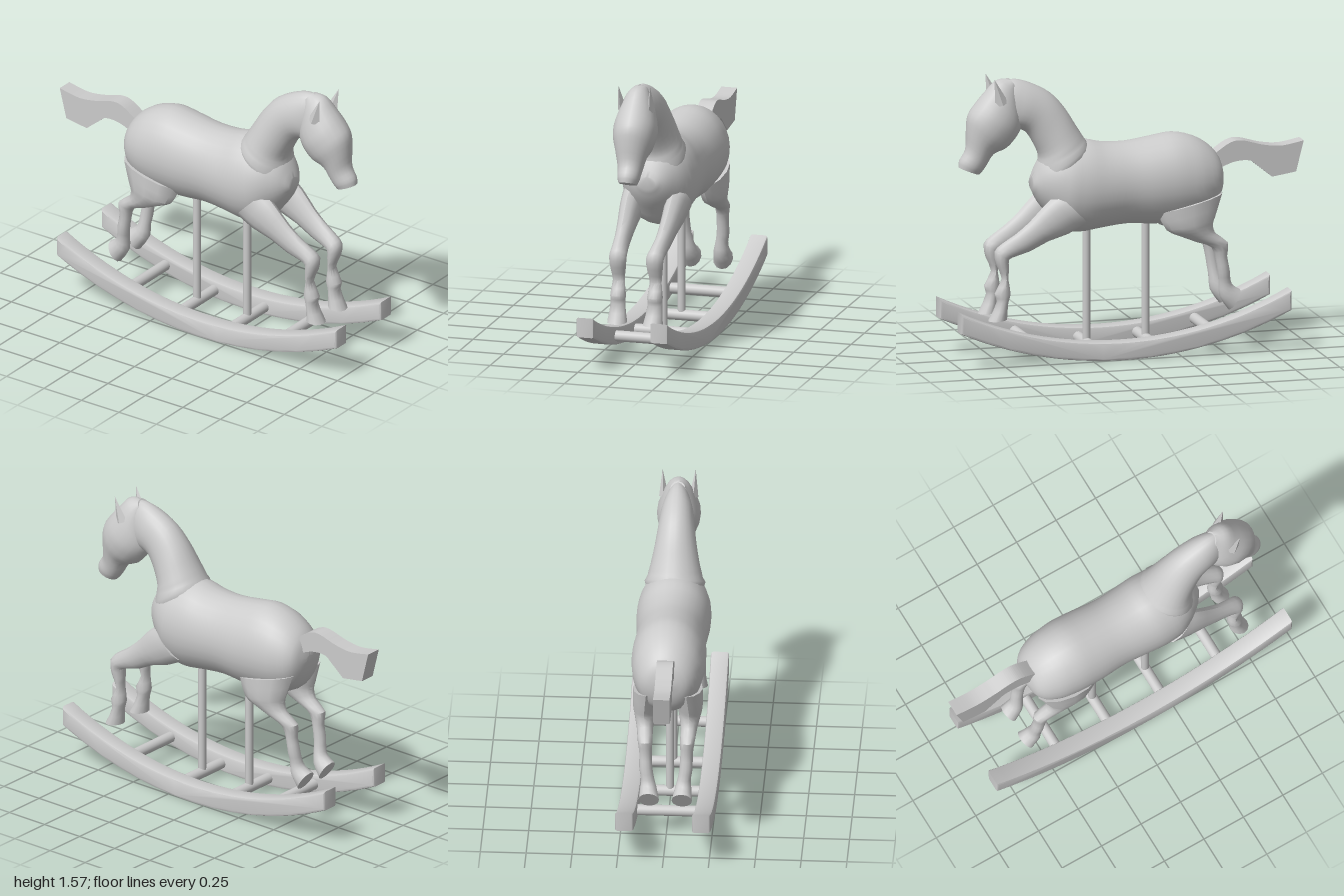
import * as THREE from 'three';
import { toCreasedNormals } from 'three/addons/utils/BufferGeometryUtils.js';

const material = new THREE.MeshStandardMaterial({ color: 0xcccccc });

function addMesh(parent, name, geometry) {
  const mesh = new THREE.Mesh(geometry, material);
  mesh.name = name;
  parent.add(mesh);
  return mesh;
}

// Smooth skin through oval sections [zA, yA, zB, yB, x, halfWidth]; A and B are opposite rim points.
function loft(sections, sides, steps, side = 1, crease = 1) {
  const curve = (pick) => new THREE.CatmullRomCurve3(sections.map(pick));
  const edgeA = curve((s) => new THREE.Vector3(0, s[1], s[0]));
  const edgeB = curve((s) => new THREE.Vector3(0, s[3], s[2]));
  const width = curve((s) => new THREE.Vector3(s[4] * side, s[5], 0));
  const rows = (sections.length - 1) * steps;
  const pos = [], index = [];
  for (let i = 0; i <= rows; i++) {
    const a = edgeA.getPoint(i / rows), b = edgeB.getPoint(i / rows), w = width.getPoint(i / rows);
    for (let j = 0; j < sides; j++) {
      const t = (j / sides) * Math.PI * 2, c = (1 + Math.cos(t)) / 2;
      pos.push(w.x + Math.sin(t) * w.y, b.y + (a.y - b.y) * c, b.z + (a.z - b.z) * c);
    }
  }
  for (let i = 0; i < rows; i++) {
    for (let j = 0; j < sides; j++) {
      const k = (j + 1) % sides, p = i * sides, q = p + sides;
      index.push(p + j, q + j, p + k, p + k, q + j, q + k);
    }
  }
  // End caps
  for (let j = 1; j < sides - 1; j++) {
    const e = rows * sides;
    index.push(0, j, j + 1, e, e + j + 1, e + j);
  }
  // Turn the faces outward if the enclosed volume is negative
  const v = (n) => new THREE.Vector3().fromArray(pos, n * 3);
  let volume = 0;
  for (let i = 0; i < index.length; i += 3) {
    volume += v(index[i]).dot(v(index[i + 1]).cross(v(index[i + 2])));
  }
  if (volume < 0) index.reverse();
  const geometry = new THREE.BufferGeometry();
  geometry.setAttribute('position', new THREE.Float32BufferAttribute(pos, 3));
  geometry.setIndex(index);
  return toCreasedNormals(geometry, crease);
}

const BODY = [
  [-0.545, 0.97, -0.545, 0.93, 0, 0.03], [-0.52, 1.06, -0.53, 0.85, 0, 0.11],
  [-0.47, 1.12, -0.49, 0.77, 0, 0.155], [-0.38, 1.175, -0.4, 0.72, 0, 0.19],
  [-0.27, 1.2, -0.25, 0.7, 0, 0.203], [-0.15, 1.185, -0.14, 0.7, 0, 0.2],
  [0, 1.165, 0, 0.71, 0, 0.19], [0.13, 1.17, 0.15, 0.695, 0, 0.198],
  [0.22, 1.19, 0.27, 0.68, 0, 0.204], [0.31, 1.19, 0.37, 0.7, 0, 0.198],
  [0.4, 1.17, 0.44, 0.78, 0, 0.165], [0.48, 1.1, 0.5, 0.86, 0, 0.11],
  [0.53, 1.0, 0.535, 0.93, 0, 0.05],
];
const NECK = [
  [0.2, 1.15, 0.5, 0.92, 0, 0.15], [0.235, 1.2, 0.495, 1.06, 0, 0.15],
  [0.28, 1.27, 0.49, 1.11, 0, 0.135], [0.35, 1.38, 0.52, 1.18, 0, 0.115],
  [0.43, 1.465, 0.57, 1.255, 0, 0.1], [0.54, 1.525, 0.62, 1.27, 0, 0.09],
  [0.62, 1.55, 0.66, 1.26, 0, 0.075], [0.67, 1.55, 0.7, 1.25, 0, 0.06],
];
const HEAD = [
  [0.66, 1.555, 0.62, 1.5, 0, 0.04], [0.73, 1.548, 0.6, 1.38, 0, 0.075],
  [0.79, 1.49, 0.595, 1.28, 0, 0.105], [0.85, 1.42, 0.63, 1.22, 0, 0.12],
  [0.89, 1.36, 0.68, 1.17, 0, 0.112], [0.9, 1.27, 0.75, 1.14, 0, 0.088],
  [0.905, 1.17, 0.79, 1.08, 0, 0.068], [0.94, 1.11, 0.815, 1.045, 0, 0.06],
  [0.945, 1.075, 0.83, 1.03, 0, 0.05],
];
const FRONT_LEG = [
  [0.42, 0.92, 0.25, 0.75, 0.12, 0.07], [0.49, 0.865, 0.36, 0.695, 0.125, 0.058],
  [0.58, 0.77, 0.47, 0.66, 0.12, 0.048], [0.66, 0.705, 0.57, 0.61, 0.115, 0.042],
  [0.735, 0.655, 0.65, 0.585, 0.108, 0.045], [0.77, 0.615, 0.69, 0.57, 0.105, 0.05],
  [0.76, 0.54, 0.69, 0.52, 0.105, 0.044], [0.728, 0.46, 0.695, 0.46, 0.105, 0.034],
  [0.77, 0.38, 0.68, 0.38, 0.105, 0.044], [0.757, 0.335, 0.695, 0.33, 0.105, 0.042],
  [0.805, 0.23, 0.7, 0.24, 0.102, 0.056],
];
const HIND_LEG = [
  [-0.52, 0.87, -0.15, 0.78, 0.11, 0.08], [-0.475, 0.74, -0.2, 0.68, 0.122, 0.068],
  [-0.462, 0.7, -0.27, 0.645, 0.122, 0.058], [-0.475, 0.65, -0.38, 0.6, 0.12, 0.045],
  [-0.55, 0.59, -0.455, 0.57, 0.115, 0.04], [-0.545, 0.52, -0.48, 0.5, 0.112, 0.034],
  [-0.56, 0.44, -0.493, 0.42, 0.11, 0.036], [-0.57, 0.37, -0.5, 0.37, 0.1, 0.036],
  [-0.585, 0.345, -0.506, 0.29, 0.095, 0.045], [-0.625, 0.32, -0.56, 0.21, 0.09, 0.056],
];

// Extrude a side outline drawn in (z, y) across x, centred on the given x.
function sideExtrude(shape, width, x, bevel) {
  const geometry = new THREE.ExtrudeGeometry(shape, {
    depth: width - 2 * bevel, bevelEnabled: bevel > 0, bevelSize: bevel, bevelThickness: bevel,
    bevelOffset: -bevel, bevelSegments: 2, curveSegments: 32,
  });
  geometry.translate(0, 0, bevel - width / 2);
  geometry.rotateY(-Math.PI / 2);
  geometry.translate(x, 0, 0);
  return toCreasedNormals(geometry, 0.5);
}

// Rocker arc: bottom radius and centre
const R = 2.19, CENTRE = 0.09;
const arcY = (z, r) => R - Math.sqrt(r * r - (z - CENTRE) ** 2);

function rockerShape() {
  const lower = [], upper = [];
  for (let i = 0; i <= 28; i++) {
    const z = -0.87 + (1.87 * i) / 28;
    lower.push(new THREE.Vector2(z, arcY(z, R)));
    upper.unshift(new THREE.Vector2(z, arcY(z, R - 0.1)));
  }
  return new THREE.Shape([...lower, ...upper]);
}

function tailShape() {
  const shape = new THREE.Shape();
  const points = (list) => list.map(([z, y]) => new THREE.Vector2(z, y));
  shape.moveTo(-0.49, 1.07);
  shape.splineThru(points([[-0.58, 1.128], [-0.65, 1.138], [-0.77, 1.107], [-0.876, 1.096], [-1, 1.117]]));
  shape.lineTo(-0.956, 0.946);
  shape.lineTo(-0.82, 0.925);
  shape.splineThru(points([[-0.74, 0.99], [-0.69, 1.024], [-0.6, 1.02], [-0.5, 0.98]]));
  shape.closePath();
  return shape;
}

export function createModel() {
  const model = new THREE.Group();
  model.name = 'rockingHorse';

  // Horse
  const horse = new THREE.Group();
  horse.name = 'horse';
  model.add(horse);
  addMesh(horse, 'body', loft(BODY, 28, 3));
  addMesh(horse, 'neck', loft(NECK, 24, 3));
  addMesh(horse, 'head', loft(HEAD, 20, 3));
  addMesh(horse, 'tail', sideExtrude(tailShape(), 0.09, 0, 0));

  for (const [label, side] of [['left', 1], ['right', -1]]) {
    addMesh(horse, label + 'FrontLeg', loft(FRONT_LEG, 12, 2, side, 0.8));
    addMesh(horse, label + 'HindLeg', loft(HIND_LEG, 12, 2, side, 0.8));
    const ear = addMesh(horse, label + 'Ear', toCreasedNormals(new THREE.ConeGeometry(0.04, 0.15, 4), 0.5));
    ear.scale.set(0.65, 1, 1);
    ear.position.set(0.086 * side, 1.5, 0.745);
    ear.rotation.set(0.3, 0, -0.06 * side);
    addMesh(model, label + 'Rocker', sideExtrude(rockerShape(), 0.1, 0.21 * side, 0.012));
  }

  // Rungs between the rockers
  for (const z of [0.58, 0.22, -0.115, -0.44]) {
    const rung = addMesh(model, 'rung', new THREE.CylinderGeometry(0.03, 0.03, 0.36, 20));
    rung.rotation.z = Math.PI / 2;
    rung.position.set(0, arcY(z, R - 0.05), z);
  }

  // Posts carrying the body
  for (const z of [0.22, -0.115]) {
    const post = addMesh(model, 'post', new THREE.CylinderGeometry(0.022, 0.022, 0.72, 20));
    post.position.set(0, 0.41, z);
  }
  return model;
}
